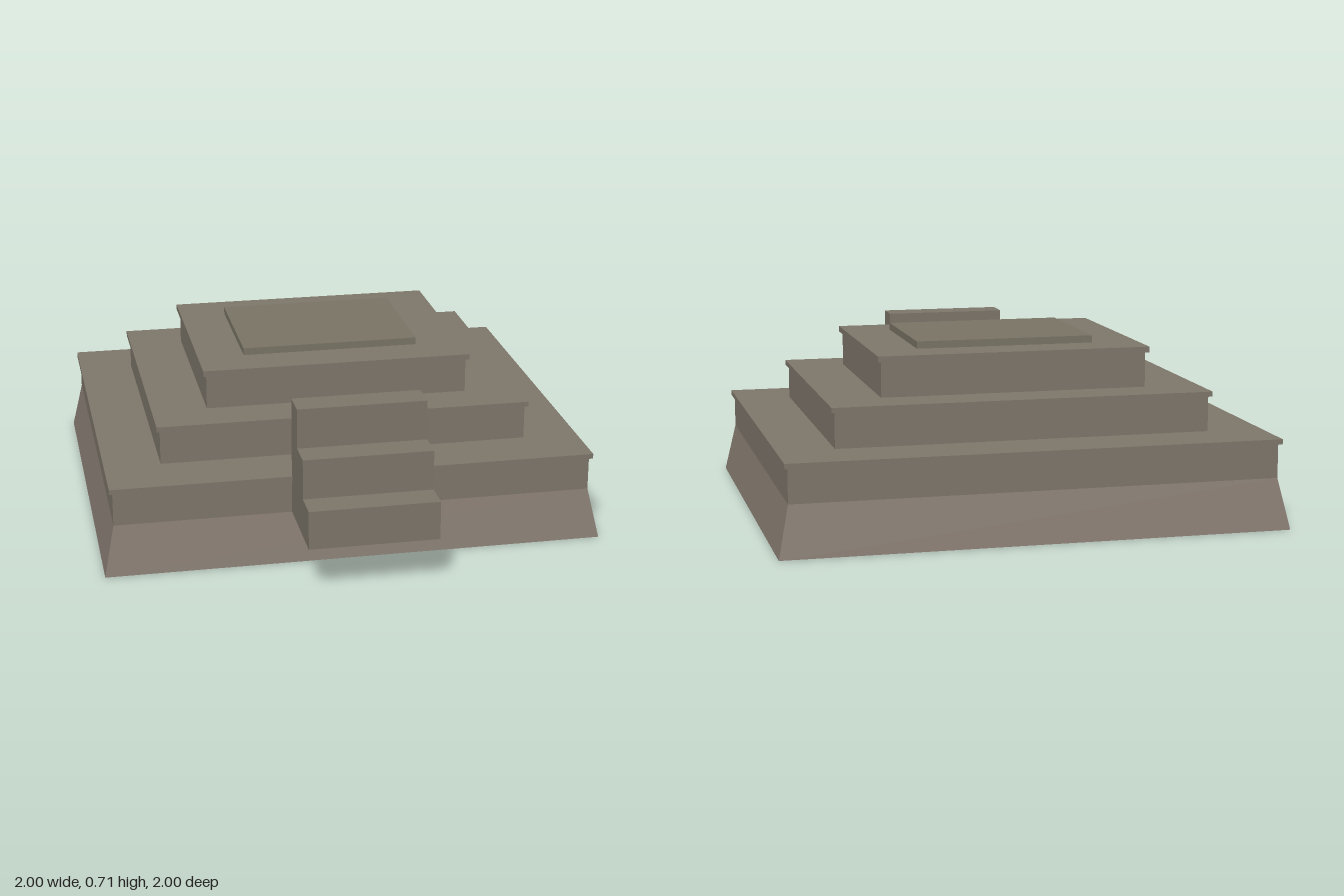
import * as THREE from 'three';

const CENTRE_Z = -0.16; // shared centre line of the stacked terraces

export function createModel() {
  const group = new THREE.Group();
  group.name = 'steppedPlatform';

  const stone = new THREE.MeshStandardMaterial({ color: 0x7f776b });
  stone.name = 'stone';
  const stairStone = new THREE.MeshStandardMaterial({ color: 0x7d766a });
  stairStone.name = 'stairStone';
  const skirtStone = new THREE.MeshStandardMaterial({ color: 0x857a70, side: THREE.DoubleSide });
  skirtStone.name = 'skirtStone';
  const capStone = new THREE.MeshStandardMaterial({ color: 0x797465 });
  capStone.name = 'capStone';

  function add(name, geometry, material) {
    const mesh = new THREE.Mesh(geometry, material);
    mesh.name = name;
    group.add(mesh);
    return mesh;
  }

  // Box given by half width, half depth and its bottom and top heights
  function slab(name, hx, hz, y0, y1, material) {
    const mesh = add(name, new THREE.BoxGeometry(hx * 2, y1 - y0, hz * 2), material);
    mesh.position.set(0, (y0 + y1) / 2, CENTRE_Z);
  }

  // Flared skirt, open above and below
  const bottom = { x: 1, z: 0.84, y: 0 };
  const top = { x: 0.957, z: 0.8, y: 0.2 };
  const corners = [[1, 1], [1, -1], [-1, -1], [-1, 1]];
  const positions = [];
  const at = (ring, [sx, sz]) => [sx * ring.x, ring.y, sz * ring.z + CENTRE_Z];
  corners.forEach((c, i) => {
    const next = corners[(i + 1) % 4];
    const [a, b, d, e] = [at(bottom, c), at(bottom, next), at(top, next), at(top, c)];
    positions.push(...a, ...b, ...d, ...a, ...d, ...e);
  });
  const skirt = new THREE.BufferGeometry();
  skirt.setAttribute('position', new THREE.Float32BufferAttribute(positions, 3));
  skirt.computeVertexNormals();
  add('flaredSkirt', skirt, skirtStone);

  // Terraces, each with a thin overhanging lip
  const terraces = [
    { name: 'lower', x: 0.957, z: 0.8, y0: 0.2, y1: 0.335, lip: 0.355 },
    { name: 'middle', x: 0.745, z: 0.587, y0: 0.355, y1: 0.495, lip: 0.515 },
    { name: 'upper', x: 0.535, z: 0.427, y0: 0.515, y1: 0.655, lip: 0.678 },
  ];
  for (const t of terraces) {
    slab(t.name + 'Terrace', t.x, t.z, t.y0, t.y1, stone);
    slab(t.name + 'Lip', t.x + 0.013, t.z + 0.013, t.y1, t.lip, stone);
  }

  // Thin cap on the summit
  slab('summitCap', 0.36, 0.276, 0.678, 0.707, capStone);

  // Front stairs: side profile (z, y) extruded across x
  const profile = [
    [0.64, 0.2], [1, 0.2], [1, 0.355], [0.88, 0.355],
    [0.88, 0.515], [0.76, 0.515], [0.76, 0.675], [0.64, 0.675],
  ];
  const shape = new THREE.Shape(profile.map(([z, y]) => new THREE.Vector2(-z, y)));
  const stairs = new THREE.ExtrudeGeometry(shape, { depth: 0.51, bevelEnabled: false });
  stairs.translate(0, 0, -0.255);
  stairs.rotateY(Math.PI / 2);
  add('frontStairs', stairs, stairStone);

  return group;
}
